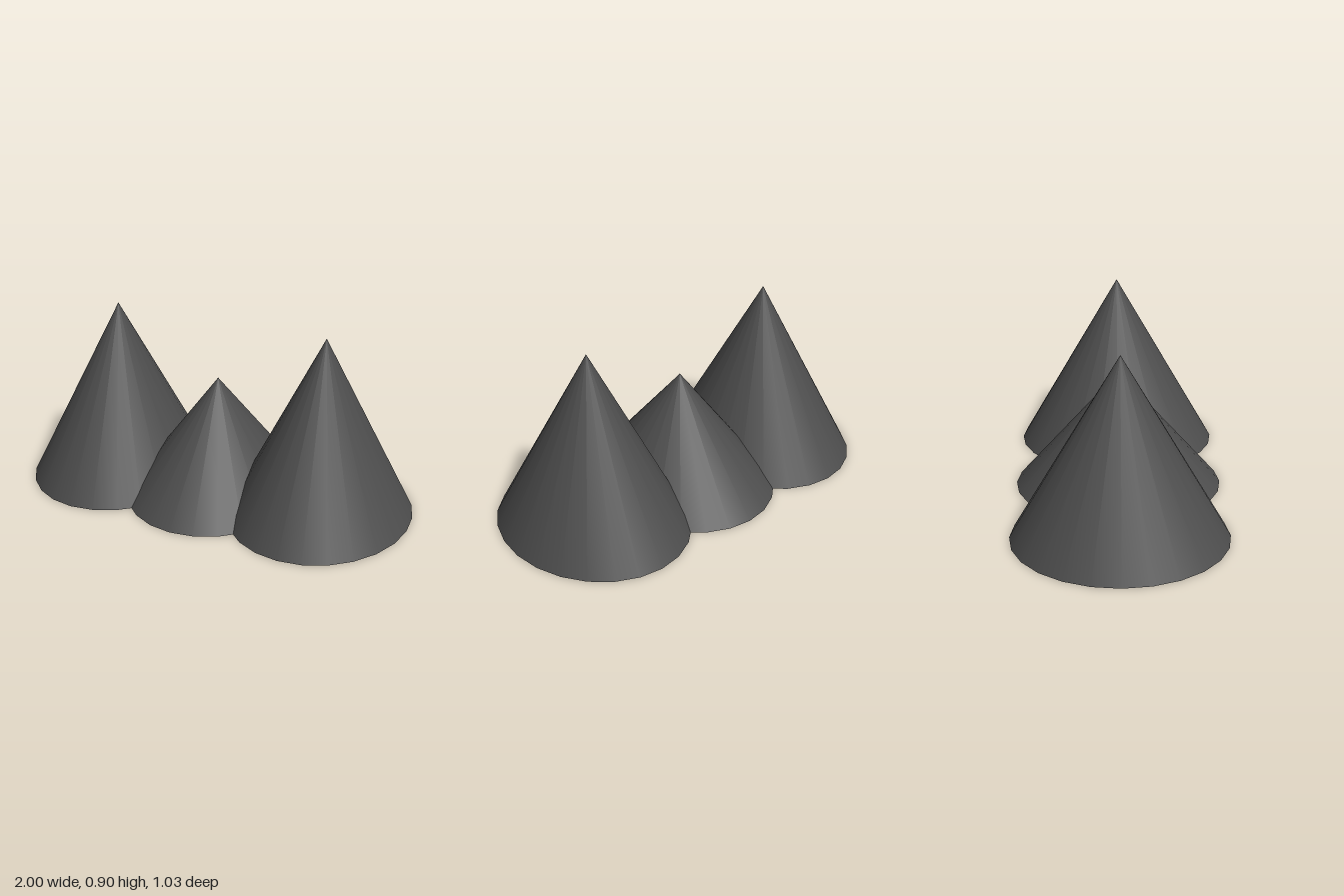
import * as THREE from 'three';

export function createModel() {
  const group = new THREE.Group();
  group.name = 'mountainRange';
  const material = new THREE.MeshStandardMaterial({ color: 0x4d4d4d });

  // One peak: a smooth 24-sided cone with an oval base standing on the ground
  function addPeak(name, x, height) {
    const geometry = new THREE.ConeGeometry(1, 1, 24, 1);
    geometry.translate(0, 0.5, 0);
    geometry.scale(0.444, height, 0.515);
    const peak = new THREE.Mesh(geometry, material);
    peak.name = name;
    peak.position.x = x;
    group.add(peak);
  }

  // Two tall outer peaks and a lower one between them
  addPeak('leftPeak', 0.556, 0.9);
  addPeak('middlePeak', 0, 0.6);
  addPeak('rightPeak', -0.556, 0.9);

  return group;
}
